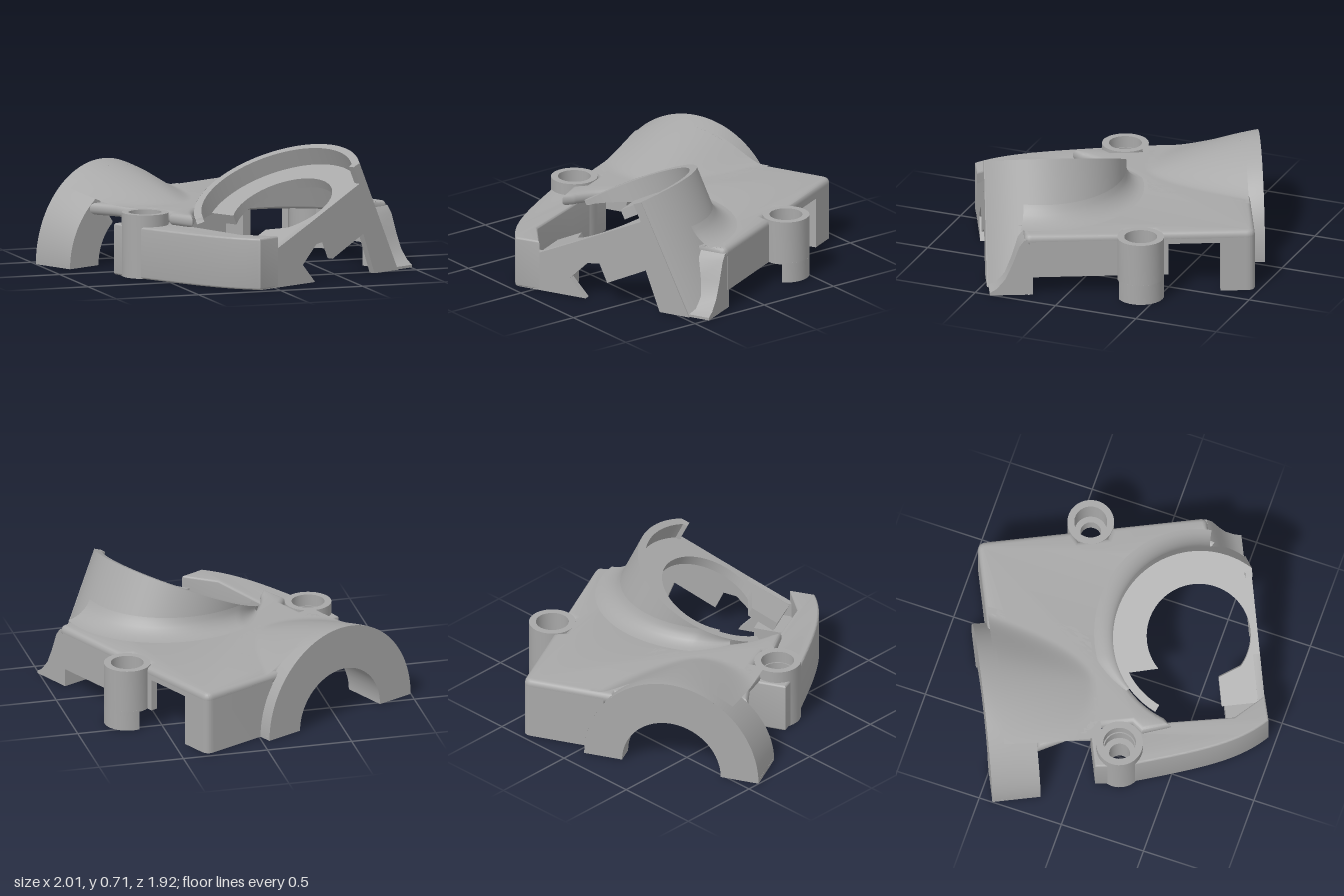
import * as THREE from 'three';
import { toCreasedNormals } from 'three/addons/utils/BufferGeometryUtils.js';

const TILT = 0.436, COS = Math.cos(TILT), SIN = Math.sin(TILT);
const FRONT = 0.81, TOP = 0.37;
const ARCH_X = -0.19, ARCH_R = 0.53;

export function createModel() {
  const grey = new THREE.MeshStandardMaterial({ color: 0xa8a8a8, side: THREE.DoubleSide });
  grey.name = 'grey plastic';
  const model = new THREE.Group();
  model.name = 'housingCover';
  model.rotation.y = 0.446;

  const add = (name, geo, parent = model) => {
    const mesh = new THREE.Mesh(toCreasedNormals(geo, 0.6), grey);
    mesh.name = name;
    parent.add(mesh);
    return mesh;
  };
  const box = (name, x0, x1, y0, y1, z0, z1) => {
    const g = new THREE.BoxGeometry(x1 - x0, y1 - y0, z1 - z0);
    return add(name, g.translate((x0 + x1) / 2, (y0 + y1) / 2, (z0 + z1) / 2));
  };
  const polygon = (pts) => new THREE.Shape(pts.map(([x, y]) => new THREE.Vector2(x, y)));
  // Flat slab whose outline is drawn in x and z, between two heights
  const slab = (shape, y0, y1, bevel = 0) => {
    const g = new THREE.ExtrudeGeometry(shape, {
      depth: y1 - y0 - 2 * bevel, curveSegments: 40, bevelEnabled: bevel > 0,
      bevelSize: bevel, bevelOffset: -bevel, bevelThickness: bevel, bevelSegments: 4,
    });
    return g.rotateX(Math.PI / 2).translate(0, y1 - bevel, 0);
  };
  // Surface from a rule giving a point for each (u, v)
  const grid = (nu, nv, fn) => {
    const pos = [], idx = [];
    for (let i = 0; i <= nu; i++) for (let j = 0; j <= nv; j++) {
      pos.push(...fn(i / nu, j / nv, j));
      if (i < nu && j < nv) {
        const a = i * (nv + 1) + j, b = a + nv + 1;
        idx.push(a, a + 1, b, b, a + 1, b + 1);
      }
    }
    const g = new THREE.BufferGeometry();
    g.setAttribute('position', new THREE.Float32BufferAttribute(pos, 3));
    g.setIndex(idx);
    return g;
  };

  // Top plate, cut out around the tilted ring
  const plate = new THREE.Shape();
  plate.moveTo(0.19, -0.73);
  plate.lineTo(0.69, -0.73);
  plate.quadraticCurveTo(0.74, -0.73, 0.74, -0.68);
  plate.lineTo(0.74, -0.18);
  plate.lineTo(0.68, -0.15);
  plate.lineTo(0.68, 0.02);
  plate.lineTo(0.74, 0.05);
  plate.lineTo(0.74, 0.56);
  plate.quadraticCurveTo(0.74, 0.6, 0.7, 0.6);
  plate.lineTo(0.556, 0.6);
  plate.absellipse(0.025, 0.47, 0.55, 0.5, 0.263, -2.6, true, 0);
  [[-0.5, 0.25], [-0.52, 0.08], [-0.46, 0.03], [-0.46, -0.15], [-0.53, -0.22], [-0.515, -0.36],
    [-0.56, -0.53], [-0.45, -0.53], [-0.42, -0.69], [0.19, -0.69]].forEach(([x, z]) => plate.lineTo(x, z));
  add('topPlate', slab(plate, 0.3, TOP, 0.03));

  // Side and back walls
  const corner = new THREE.Shape();
  corner.moveTo(0.25, -0.73);
  corner.lineTo(0.69, -0.73);
  corner.quadraticCurveTo(0.74, -0.73, 0.74, -0.68);
  corner.lineTo(0.74, -0.53);
  corner.lineTo(0.68, -0.53);
  corner.lineTo(0.68, -0.67);
  corner.lineTo(0.25, -0.67);
  add('backCornerWall', slab(corner, 0, 0.34));
  box('sideWallBack', 0.7, 0.74, 0.11, 0.34, -0.23, -0.18);
  box('sideWallFront', 0.7, 0.74, 0.11, 0.34, 0.05, 0.57);
  box('sideWallLintel', 0.7, 0.74, 0.3, 0.34, -0.54, -0.2);

  // Sloping front corner foot
  const foot = polygon([[0.55, 0], [0.55, 0.35], [0.6, 0.34], [0.63, 0.3], [0.67, 0.19],
    [0.71, 0.1], [0.76, 0.04], [0.8, 0.015], [0.8, 0]]);
  const footGeo = new THREE.ExtrudeGeometry(foot, { depth: 0.155, bevelEnabled: false });
  add('cornerFoot', footGeo.rotateY(-Math.PI / 2).translate(0.735, 0, 0));

  // Arched tunnel mouth, deep at its free foot and shallow where it meets the wall
  const z0 = -0.81, zEnd = -0.15;
  const peak = (z) => 0.56 - 0.2 * Math.pow((z - z0) / (zEnd - z0), 1.2);
  add('archRing', grid(64, 6, (u, v, j) => {
    const f = Math.PI * u;
    const z1 = -0.53 - 0.17 * THREE.MathUtils.smoothstep(f, 0.9, 1.2);
    const z = j <= 4 ? z0 + (z1 - z0) * j / 4 : j === 5 ? z1 : z0;
    const rx = j <= 4 ? ARCH_R : 0.3, ry = j <= 4 ? peak(z) : 0.3;
    return [ARCH_X - rx * Math.cos(f), ry * Math.sin(f), z];
  }));
  add('archFace', grid(48, 1, (u, v) => {
    const f = Math.PI * u, rx = v ? ARCH_R : 0.3, ry = v ? peak(z0) : 0.3;
    return [ARCH_X - rx * Math.cos(f), ry * Math.sin(f), z0];
  }));
  box('archFreeFoot', ARCH_X - ARCH_R, ARCH_X - 0.3, 0, 0.02, z0, -0.53);
  box('archWallFoot', ARCH_X + 0.3, ARCH_X + ARCH_R, 0, 0.02, z0, -0.7);

  // Domed skin that sinks into the plate
  add('domeSkin', grid(28, 44, (u, v) => {
    const z = -0.72 + (zEnd + 0.72) * u;
    const f = 0.87 + (Math.PI - 0.87) * v;
    const rx = f > Math.PI / 2 ? ARCH_R * (1 - 0.4 * u) : ARCH_R;
    const y = peak(z) * Math.sin(f), k = 0.14 * (1 - u) + 0.001;
    const h = Math.max(k - Math.abs(y - TOP), 0) / k;
    return [ARCH_X - rx * Math.cos(f), Math.max(y, TOP) + h * h * k / 4, z];
  }));

  // Two screw bosses with counterbores; the outer one stands on a half skirt
  const boss = (x, z, y0) => {
    const bore = [[0.06, y0], [0.135, y0], [0.135, TOP], [0.095, TOP], [0.095, 0.2], [0.06, 0.2], [0.06, y0]];
    const g = new THREE.LatheGeometry(bore.map(([r, y]) => new THREE.Vector2(r, y)), 36);
    add('screwBoss', g.translate(x, 0, z));
  };
  boss(-0.58, -0.057, 0);
  boss(0.786, -0.067, 0.11);
  const skirt = [[0.1, 0], [0.135, 0], [0.135, 0.12], [0.1, 0.12], [0.1, 0]];
  const skirtGeo = new THREE.LatheGeometry(
    skirt.map(([r, y]) => new THREE.Vector2(r, y)), 24, 0.1 * Math.PI, 0.85 * Math.PI);
  add('bossSkirt', skirtGeo.translate(0.786, 0, -0.067));

  // Thick curved wall beside the opening, bored through for the boss
  const wall = new THREE.Shape();
  wall.moveTo(-0.68, -0.21);
  wall.lineTo(-0.69, -0.1);
  wall.lineTo(-0.69, 0.02);
  wall.bezierCurveTo(-0.655, 0.4, -0.635, 0.63, -0.51, FRONT + 0.005);
  wall.lineTo(-0.36, FRONT);
  wall.lineTo(-0.47, 0.62);
  wall.lineTo(-0.455, 0.2);
  wall.lineTo(-0.455, -0.21);
  const hole = new THREE.Path();
  hole.absarc(-0.58, -0.057, 0.1, 0, Math.PI * 2, true);
  wall.holes.push(hole);
  add('curvedWall', slab(wall, 0, 0.3, 0.012));
  box('innerFrontBlock', -0.47, -0.22, 0, 0.15, 0.58, 0.79);

  // Front wall with its notch and slanted leg
  const front = polygon([[-0.5, 0], [-0.06, 0], [-0.16, 0.11], [-0.05, 0.22], [0.03, 0.23],
    [0.08, 0.12], [0.33, 0.24], [0.42, 0], [0.61, 0], [0.3, 0.655], [0.25, 0.635],
    [0.3, 0.53], [-0.36, 0.23], [-0.5, 0.25]]);
  const frontGeo = new THREE.ExtrudeGeometry(front, { depth: 0.04, bevelEnabled: false });
  add('frontWall', frontGeo.translate(0, 0, FRONT - 0.04));

  // Tilted ring: rim shell, recessed floor and fillet
  const ring = new THREE.Group();
  ring.name = 'tiltedRing';
  ring.position.set(-0.035, 0.5, 0.47);
  ring.rotation.z = TILT;
  model.add(ring);
  const rimTop = (t, r) => 0.5 + r * Math.cos(t) * SIN;
  add('rimShell', grid(72, 4, (u, v, j) => {
    const t = -2.5 + (0.747 + 2.5) * u;
    const r = j === 2 || j === 3 ? 0.455 : 0.5;
    const low = t > 0.2 ? 0 : Math.min(0.32, rimTop(t, r) - 0.03);
    const y = j === 1 || j === 2 ? -(rimTop(t, r) - low) / COS : 0;
    return [r * Math.cos(t), y, r * Math.sin(t)];
  }), ring);

  const floor = new THREE.Shape();
  floor.moveTo(-0.17, -0.438);
  floor.absarc(0, 0, 0.47, -1.94, 0.809, false);
  floor.lineTo(-0.42, 0.34);
  floor.lineTo(-0.42, 0.09);
  floor.lineTo(-0.25, 0.09);
  floor.absarc(0, 0, 0.3, 2.3, -2.15, true);
  add('ringFloor', slab(floor, -0.17, -0.11), ring);

  // Fillet where the rim rises out of the plate
  add('rimFillet', grid(48, 6, (u, v) => {
    const t = -2.1 + 2.35 * u;
    const size = Math.max(0, Math.min(0.1, rimTop(t, 0.5) - TOP));
    const out = size * (1 - Math.sin(v * Math.PI / 2));
    const y = TOP + size * (1 - Math.cos(v * Math.PI / 2));
    const s = (rimTop(t, 0.5) - y) / COS;
    return [
      -0.035 + 0.5 * Math.cos(t) * COS + s * SIN + out * Math.cos(t),
      y + 0.001,
      0.47 + (0.5 + out) * Math.sin(t),
    ];
  }));

  return model;
}
